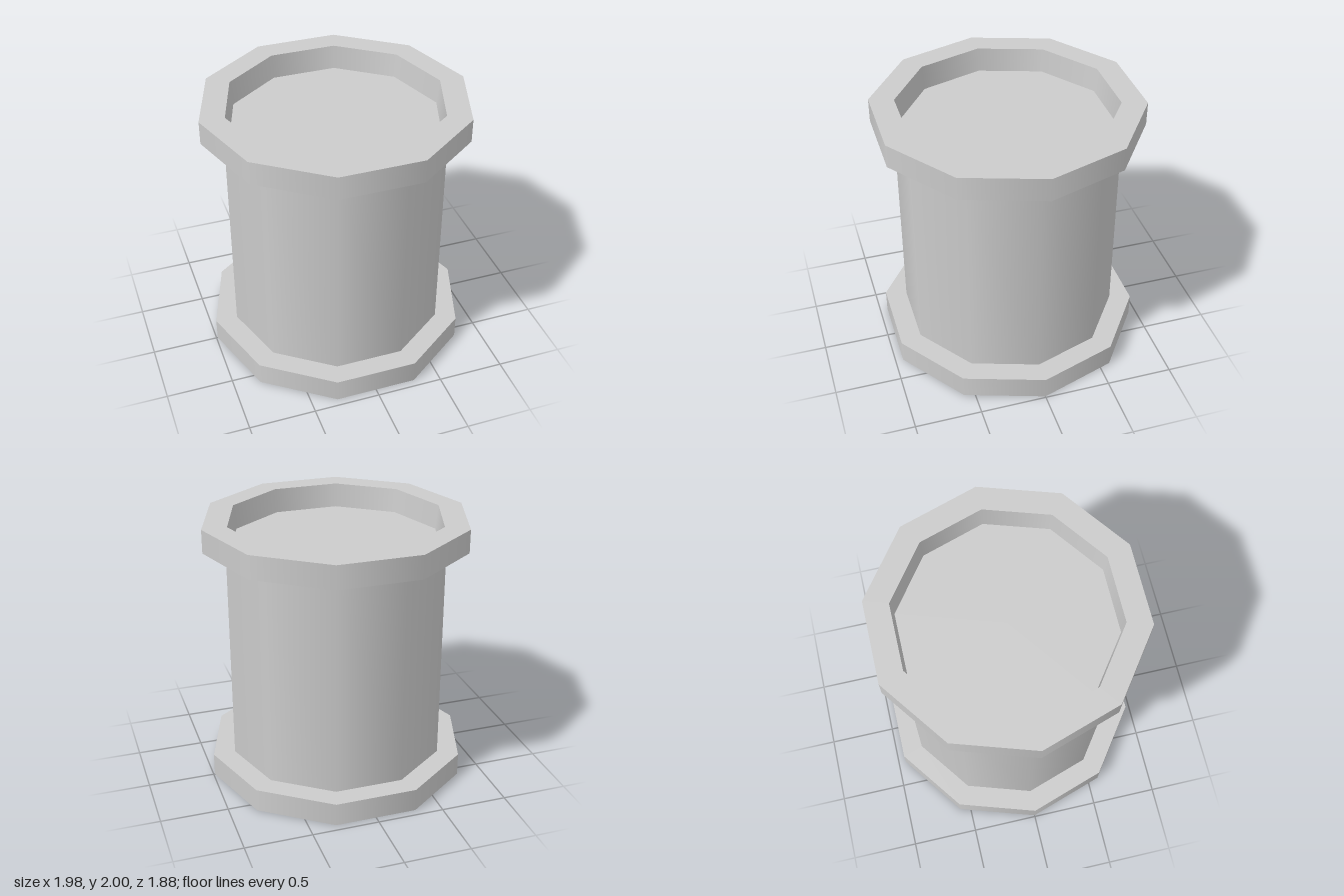
import * as THREE from 'three';
import { mergeGeometries } from 'three/addons/utils/BufferGeometryUtils.js';

const SIDES = 10;
const HEIGHT = 2;
const RIM = 0.175; // rim height
const DRUM_R = 0.823, RIM_R = 0.99, OPENING_R = 0.805, FLOOR_R = 0.786;
const TOP_DEPTH = 0.182, BOTTOM_DEPTH = 0.323; // recess depths
const material = new THREE.MeshStandardMaterial({ color: 0xcccccc });

// Ten-sided revolve, smooth around the axis, with hard edges between profile segments
function revolve(profile) {
  const bands = [];
  for (let i = 0; i < profile.length - 1; i++) {
    const pair = [profile[i], profile[i + 1]].map(([r, y]) => new THREE.Vector2(r, y));
    const band = new THREE.LatheGeometry(pair, SIDES, Math.PI / 2);
    band.normalizeNormals();
    bands.push(band);
  }
  return mergeGeometries(bands);
}

function addPart(group, name, profile) {
  const mesh = new THREE.Mesh(revolve(profile), material);
  mesh.name = name;
  group.add(mesh);
}

export function createModel() {
  const group = new THREE.Group();
  group.name = 'spool';

  // Drum wall between the rims
  addPart(group, 'drum', [[DRUM_R, RIM], [DRUM_R, HEIGHT - RIM]]);

  // Top rim with a shallow recess narrowing to its floor
  addPart(group, 'topRim', [
    [DRUM_R, HEIGHT - RIM], [RIM_R, HEIGHT - RIM], [RIM_R, HEIGHT],
    [OPENING_R, HEIGHT], [FLOOR_R, HEIGHT - TOP_DEPTH], [0, HEIGHT - TOP_DEPTH],
  ]);

  // Bottom rim with a deeper recess
  addPart(group, 'bottomRim', [
    [0, BOTTOM_DEPTH], [FLOOR_R, BOTTOM_DEPTH], [OPENING_R, 0],
    [RIM_R, 0], [RIM_R, RIM], [DRUM_R, RIM],
  ]);

  return group;
}
